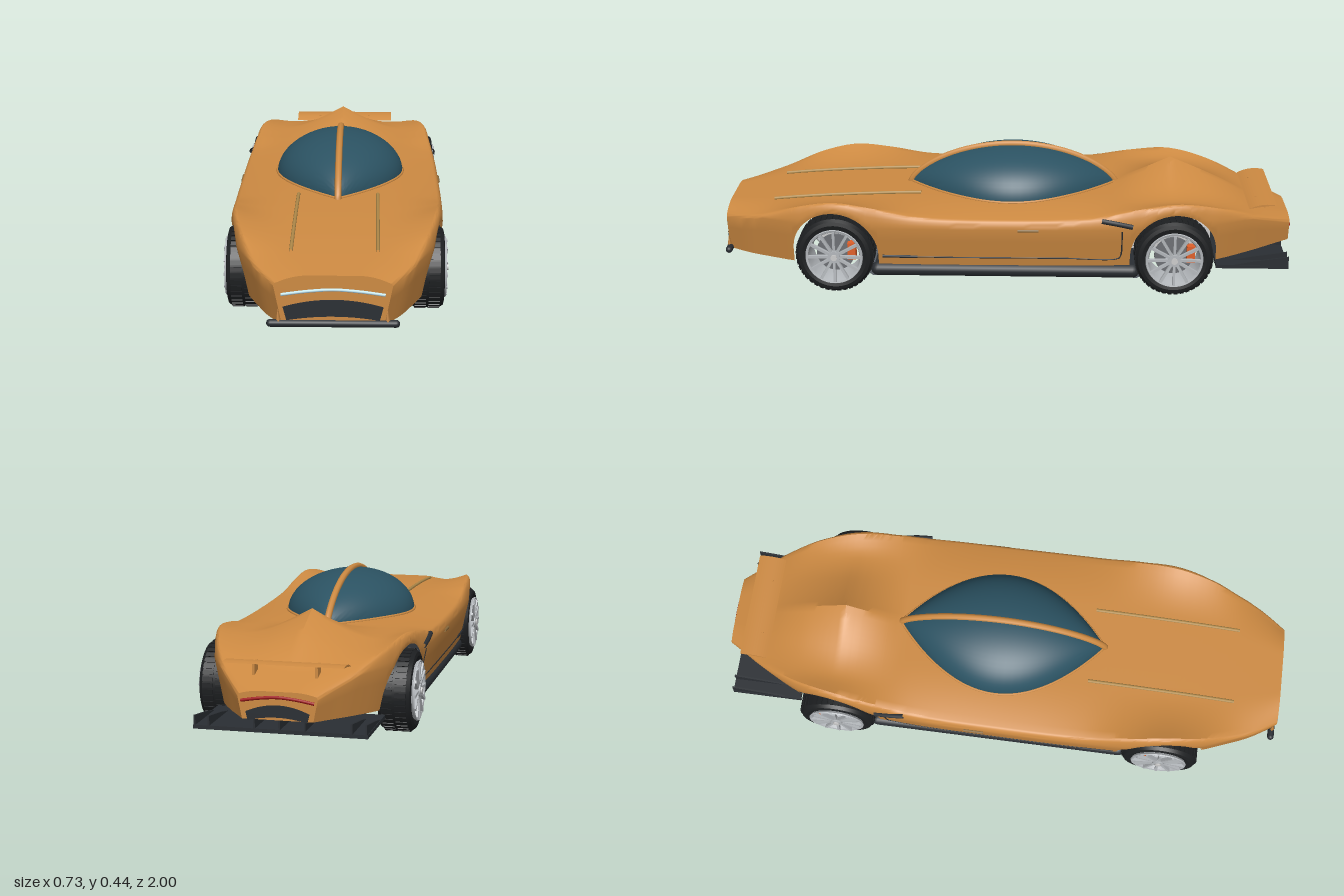
import * as THREE from 'three';
import { toCreasedNormals } from 'three/addons/utils/BufferGeometryUtils.js';

const PAINT = 0xcd8a42, GLASS = 0x2b5262, DARK = 0x2a2e33, RUBBER = 0x1d1f21, METAL = 0xb4b8bc;
const mat = (color) => new THREE.MeshStandardMaterial({ color, side: THREE.DoubleSide });
const V = (x, y, z) => new THREE.Vector3(x, y, z);

function add(parent, name, geo, color, x = 0, y = 0, z = 0) {
  const m = new THREE.Mesh(geo, mat(color));
  m.name = name;
  m.position.set(x, y, z);
  parent.add(m);
  return m;
}
function tube(parent, name, pts, r, color, n = 24) {
  return add(parent, name, new THREE.TubeGeometry(new THREE.CatmullRomCurve3(pts), n, r, 8), color);
}

// Smooth interpolation through [z, value] pairs
function curve(...p) {
  const slope = (i) => {
    const a = p[Math.max(i - 1, 0)], b = p[Math.min(i + 1, p.length - 1)];
    return (b[1] - a[1]) / (b[0] - a[0]);
  };
  return (z) => {
    let i = 0;
    while (i < p.length - 2 && z > p[i + 1][0]) i++;
    const h = p[i + 1][0] - p[i][0], t = THREE.MathUtils.clamp((z - p[i][0]) / h, 0, 1);
    const t2 = t * t, t3 = t2 * t;
    return (2 * t3 - 3 * t2 + 1) * p[i][1] + (t3 - 2 * t2 + t) * h * slope(i)
      + (3 * t2 - 2 * t3) * p[i + 1][1] + (t3 - t2) * h * slope(i + 1);
  };
}

// Body lines along z: plan half width, centre height, fender height
const width = curve([-1, .125], [-.94, .165], [-.85, .225], [-.72, .288], [-.55, .328], [-.3, .35], [0, .355],
  [.3, .355], [.5, .347], [.7, .315], [.8, .28], [.9, .235], [.985, .18]);
const centre = curve([-1, .21], [-.87, .25], [-.7, .28], [-.4, .295], [0, .293], [.35, .29], [.6, .28], [.8, .265], [.985, .245]);
const fender = curve([-1, .2], [-.87, .245], [-.75, .29], [-.6, .32], [-.45, .305], [-.3, .28], [0, .272],
  [.3, .28], [.45, .305], [.58, .32], [.7, .3], [.85, .25], [.985, .222]);
const AXLES = [.585, -.58], WHEEL_Y = .135, ARCH = .15;

const spine = (z) => .1 * Math.max(0, z > -.58 ? (-.38 - z) / .2 : (z + .87) / .29);
const lower = (z) => {
  for (const c of AXLES) if (Math.abs(z - c) < ARCH) return WHEEL_Y + Math.sqrt(ARCH ** 2 - (z - c) ** 2);
  return z > .6 ? .087 : z < -.6 ? .1 + (-.73 - z) * .08 : .1;
};
const shoulder = (z) => Math.max(Math.min(.24, fender(z) - .012), lower(z) + .006);
const sideX = (y, z) => width(z) - .2 * (shoulder(z) - y);
function topY(x, z) {
  const u = Math.abs(x) / width(z), t = THREE.MathUtils.clamp((u - .42) / .53, 0, 1);
  return centre(z) + (fender(z) - centre(z)) * t * t + spine(z) * Math.max(0, 1 - Math.abs(x) / .25) ** 1.4;
}

// Half section from the centre line to the sill
function halfSection(z) {
  const w = width(z), sh = shoulder(z), low = lower(z), out = [];
  for (let i = 0; i <= 14; i++) { const x = w * .95 * i / 14; out.push([x, topY(x, z)]); }
  for (let i = 1; i <= 5; i++) {
    const a = i / 5 * Math.PI / 2;
    out.push([w * (.95 + .05 * Math.sin(a)), sh + (topY(w * .95, z) - sh) * Math.cos(a)]);
  }
  for (let i = 1; i <= 3; i++) { const y = sh + (low - sh) * i / 3; out.push([sideX(y, z), y]); }
  return out;
}
function section(z) {
  const h = halfSection(z);
  return [...h.slice(1).reverse(), ...h.map(([x, y]) => [-x, y])];
}

// Skin over rows of points running from +x to -x, rows ordered by rising z
function loft(rows, crease) {
  const n = rows[0].length, pos = rows.flat().flatMap((p) => [p.x, p.y, p.z]), idx = [];
  for (let i = 0; i < rows.length - 1; i++) for (let j = 0; j < n - 1; j++) {
    const a = i * n + j, c = a + n;
    idx.push(a, a + 1, c, a + 1, c + 1, c);
  }
  const g = new THREE.BufferGeometry();
  g.setAttribute('position', new THREE.Float32BufferAttribute(pos, 3));
  g.setIndex(idx);
  return toCreasedNormals(g, crease);
}

function buildBody(car) {
  const zs = [];
  for (let i = 0; i <= 70; i++) zs.push(-1 + 1.985 * i / 70);
  for (const c of AXLES) {
    for (let i = 0; i <= 24; i++) zs.push(c + (ARCH - 1e-5) * Math.cos(i / 24 * Math.PI));
    zs.push(c - ARCH - .0005, c + ARCH + .0005);
  }
  zs.sort((a, b) => a - b);
  add(car, 'bodyShell', loft(zs.map((z) => section(z).map(([x, y]) => V(x, y, z))), .6), PAINT);
  for (const [name, z] of [['nosePanel', .985], ['tailPanel', -1]]) {
    const shape = new THREE.Shape(section(z).map(([x, y]) => new THREE.Vector2(x, y)));
    const m = add(car, name, new THREE.ShapeGeometry(shape), PAINT, 0, 0, z);
    if (z < 0) m.rotation.y = Math.PI;
  }
}

function buildCanopy(car) {
  const at = (t) => ({ z: -.022 + .368 * t, w: .225 * (1 - t * t), h: .145 * Math.max(0, 1 - t * t) ** .7 });
  const rows = [], rib = [], rim = [[], []];
  for (let i = 0; i <= 40; i++) {
    const { z, w, h } = at(-Math.cos(i / 40 * Math.PI));
    rows.push(Array.from({ length: 33 }, (_, j) => {
      const a = j / 32 * Math.PI;
      return V(w * Math.cos(a), .285 + h * Math.sin(a), z);
    }));
    rib.push(V(0, .287 + h, z));
    [1, -1].forEach((s, k) => rim[k].push(V(s * w, topY(w, z) + .001, z)));
  }
  add(car, 'canopyGlass', loft(rows, 1), GLASS);
  tube(car, 'canopyRib', rib, .012, PAINT, 60);
  rim.forEach((r) => tube(car, 'canopyRim', r, .005, PAINT, 50));
}

// Wheel built with its outer face towards +x
function buildWheel(car, s, z) {
  const g = new THREE.Group();
  g.name = z > 0 ? 'frontWheel' : 'rearWheel';
  const lathe = (pts, n = 48) => toCreasedNormals(
    new THREE.LatheGeometry(pts.map(([r, x]) => new THREE.Vector2(r, x)), n).rotateZ(-Math.PI / 2), .5);
  add(g, 'tyre', lathe([[.094, -.05], [.112, -.055], [.124, -.052], [.132, -.04], [.132, .04], [.124, .052], [.112, .055], [.094, .05]]), RUBBER);
  add(g, 'rimBarrel', lathe([[.088, -.05], [.095, -.05], [.092, 0], [.093, .05], [.099, .058], [.097, .062], [.09, .06], [.086, .05], [.086, -.05]]), METAL);
  for (let i = 0; i < 40; i++) for (const k of [-1, 1]) {
    const block = add(g, 'treadBlock', new THREE.BoxGeometry(.036, .007, .014), RUBBER);
    const a = (i + (k > 0 ? .5 : 0)) / 40 * Math.PI * 2;
    block.position.set(k * .022, .1315 * Math.cos(a), .1315 * Math.sin(a));
    block.rotation.x = a;
  }
  for (let i = 0; i < 12; i++) {
    const spoke = new THREE.BoxGeometry(.012, .074, .009).translate(0, .055, 0).rotateZ(-.06).rotateX(i / 12 * Math.PI * 2);
    add(g, 'spoke', spoke, METAL, .054);
  }
  const disc = (name, r, w, x, c) => add(g, name, new THREE.CylinderGeometry(r, r, w, 32).rotateZ(Math.PI / 2), c, x);
  disc('hub', .021, .02, .056, METAL);
  disc('hubCap', .011, .008, .067, 0xcccccc);
  disc('brakeDisc', .066, .008, .01, 0x6d7074);
  add(g, 'brakeCaliper', new THREE.BoxGeometry(.03, .06, .028), 0xe0602a, .022, .012, -s * .058);
  g.position.set(s * .295, WHEEL_Y, z);
  if (s < 0) g.rotation.y = Math.PI;
  car.add(g);
}

function buildUnderside(car) {
  add(car, 'floorTray', new THREE.BoxGeometry(.6, .05, .9), DARK, 0, .072, 0);
  for (const z of [.45, -.45])
    add(car, 'trayEdge', new THREE.CylinderGeometry(.026, .026, .6, 16).rotateZ(Math.PI / 2), 0x5a6068, 0, .071, z);
  add(car, 'engineBlock', new THREE.BoxGeometry(.3, .09, .28), 0xcccccc, 0, .135, -.58);
  add(car, 'frontSubframe', new THREE.BoxGeometry(.26, .07, .2), 0xcccccc, 0, .13, .56);
  for (const z of AXLES) {
    add(car, 'axle', new THREE.CylinderGeometry(.013, .013, .56, 12).rotateZ(Math.PI / 2), METAL, 0, WHEEL_Y, z);
    for (const s of [1, -1]) for (const d of [-.09, .09])
      tube(car, 'suspensionArm', [V(s * .12, .11, z + d), V(s * .2, .108, z + d / 2), V(s * .27, .105, z)], .007, METAL, 6);
  }
  for (const s of [1, -1])
    add(car, 'rockerSill', new THREE.CapsuleGeometry(.024, .88, 6, 12).rotateX(Math.PI / 2), DARK, s * .305, .075, 0);
}

// Bowed grille panel with a peaked top and bottom edge
function grille(car, name, w, y0, y1, z) {
  const s = new THREE.Shape();
  s.moveTo(-w * .93, y0);
  s.quadraticCurveTo(0, y0 + .025, w * .93, y0);
  s.lineTo(w, y1);
  s.quadraticCurveTo(0, y1 + .046, -w, y1);
  add(car, name, new THREE.ExtrudeGeometry(s, { depth: .012, bevelEnabled: false, curveSegments: 16 }), DARK, 0, 0, z);
}

function buildNoseAndTail(car) {
  const bow = (w, y, rise, z) => [-1, -.5, 0, .5, 1].map((t) => V(w * t, y + rise * (1 - Math.abs(t) ** 1.6), z));
  tube(car, 'headlight', bow(.158, .184, .016, .986), .005, 0xbfe3f2);
  tube(car, 'tailLight', bow(.115, .178, .014, -1.0), .005, 0xa01418);
  grille(car, 'frontGrille', .152, .103, .145, .978);
  grille(car, 'rearGrille', .1, .118, .145, -1.003);
  add(car, 'frontSplitter', new THREE.CapsuleGeometry(.012, .382, 6, 12).rotateZ(Math.PI / 2), DARK, 0, .091, .982);
  add(car, 'diffuser', new THREE.BoxGeometry(.55, .012, .25), DARK, 0, .081, -.857);
  const fin = new THREE.Shape([[.73, .075], [.982, .075], [.982, .118], [.86, .1]].map(([a, b]) => new THREE.Vector2(a, b)));
  for (const x of [-.27, -.225, -.08, 0, .08, .225, .27])
    add(car, 'diffuserFin', new THREE.ExtrudeGeometry(fin, { depth: .006, bevelEnabled: false }).rotateY(Math.PI / 2), DARK, x - .003, 0, 0);
  // Rear wing: cambered blade on two struts
  const blade = new THREE.Shape();
  blade.moveTo(.847, .264);
  blade.quadraticCurveTo(.89, .288, .942, .278);
  blade.quadraticCurveTo(.89, .274, .847, .264);
  add(car, 'rearWing', new THREE.ExtrudeGeometry(blade, { depth: .384, bevelEnabled: false }).rotateY(Math.PI / 2), PAINT, -.192, 0, 0);
  for (const s of [1, -1]) {
    add(car, 'wingStrut', new THREE.BoxGeometry(.008, .05, .04), PAINT, s * .1, .253, -.895);
    add(car, 'noseFin', new THREE.ConeGeometry(.008, .045, 4), PAINT, s * .166, .12, .984);
  }
}

function buildTrim(car) {
  for (const s of [1, -1]) {
    const onSide = (z, y, out = .001) => V(s * (sideX(Math.min(y, shoulder(z)), z) + out), y, z);
    const strip = [];
    for (let i = 0; i <= 10; i++) { const z = .3 + .052 * i; strip.push(V(s * .135, topY(.135, z) + .003, z)); }
    tube(car, 'hoodStrip', strip, .006, 0xb08a4a);
    const seam = [[.41, .13], [.2, .13], [0, .13], [-.2, .13], [-.395, .13], [-.4, .15], [-.4, .235]];
    tube(car, 'doorSeam', seam.map(([z, y]) => onSide(z, y, 0)), .0025, DARK, 50);
    tube(car, 'lowerVent', [onSide(.42, .131), onSide(.36, .131), onSide(.3, .131)], .005, DARK, 8);
    tube(car, 'sideIntake', [onSide(-.33, .272, -.004), onSide(-.385, .262, 0), onSide(-.435, .25, 0)], .009, DARK, 10);
    tube(car, 'doorHandle', [onSide(-.045, .238, .002), onSide(-.08, .238, .002), onSide(-.115, .238, .002)], .005, 0x8a6a3c, 8);
  }
}

export function createModel() {
  const car = new THREE.Group();
  car.name = 'sportsCar';
  buildBody(car);
  buildCanopy(car);
  for (const z of AXLES) for (const s of [1, -1]) buildWheel(car, s, z);
  buildUnderside(car);
  buildNoseAndTail(car);
  buildTrim(car);
  return car;
}
